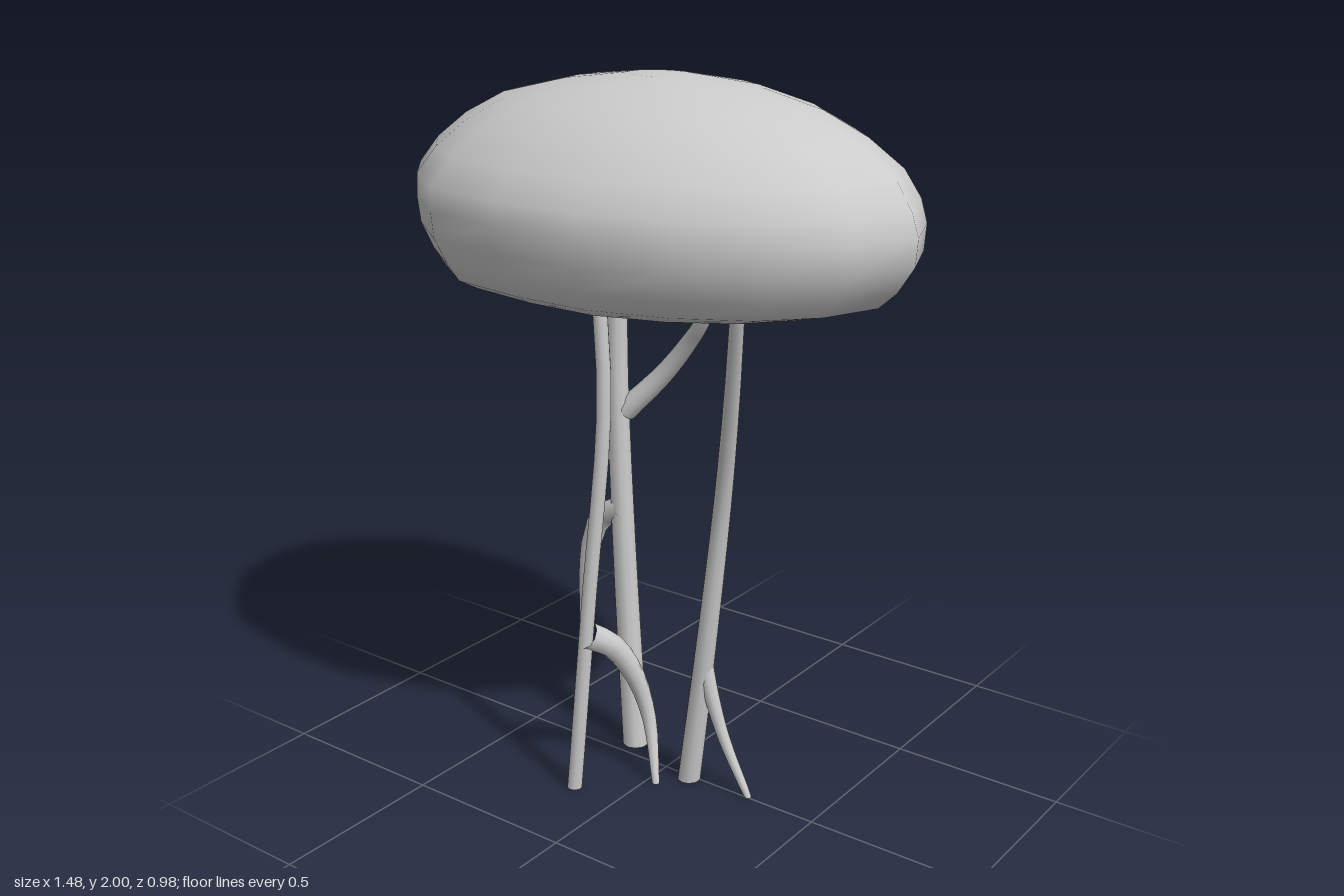
import * as THREE from 'three';

const material = new THREE.MeshStandardMaterial({ color: 0xcccccc });

// Canopy: one egg-shaped outline, rescaled for every height.
function canopyGeometry() {
  // Half outline from +x to -x (unit x, unit z), mirrored to a full loop.
  const half = [[1, 0], [0.905, 0.35], [0.73, 0.63], [0.45, 0.86], [0.12, 1],
    [-0.22, 1], [-0.55, 0.92], [-0.79, 0.65], [-0.955, 0.365], [-1, 0]];
  const outline = [...half, ...half.slice(1, -1).reverse().map(([x, z]) => [x, -z])];
  // Height, reach to -x, reach to +x, half depth.
  const rings = [
    [1.46, 0.62, 0.54, 0.39], [1.485, 0.67, 0.64, 0.435], [1.53, 0.70, 0.69, 0.46],
    [1.60, 0.73, 0.735, 0.49], [1.67, 0.742, 0.74, 0.492], [1.73, 0.74, 0.72, 0.488],
    [1.80, 0.685, 0.675, 0.44], [1.87, 0.595, 0.575, 0.375], [1.93, 0.48, 0.45, 0.29],
    [1.975, 0.29, 0.28, 0.19], [1.998, 0.11, 0.07, 0.07]];
  const n = outline.length;
  const positions = [];
  const index = [];
  for (const [y, left, right, depth] of rings) {
    for (const [x, z] of outline) positions.push(x * (x < 0 ? left : right), y, z * depth);
  }
  const bottom = rings.length * n;
  positions.push(0, 1.452, 0, 0, 2, 0);
  for (let i = 0; i < n; i++) {
    const j = (i + 1) % n;
    for (let k = 0; k < rings.length - 1; k++) {
      const a = k * n + i, b = k * n + j;
      index.push(a, a + n, b, b, a + n, b + n);
    }
    const last = (rings.length - 1) * n;
    index.push(bottom, i, j, bottom + 1, last + j, last + i);
  }
  const geometry = new THREE.BufferGeometry();
  geometry.setAttribute('position', new THREE.Float32BufferAttribute(positions, 3));
  geometry.setIndex(index);
  geometry.computeVertexNormals();
  return geometry;
}

// Tapered limb along a curve; a limb starting at the ground gets a flat foot.
function limb(name, points, r0, r1) {
  const group = new THREE.Group();
  group.name = name;
  const curve = new THREE.CatmullRomCurve3(points.map((p) => new THREE.Vector3(...p)));
  const steps = 12, sides = 10;
  const geometry = new THREE.TubeGeometry(curve, steps, 1, sides);
  const pos = geometry.attributes.position;
  const v = new THREE.Vector3();
  for (let i = 0; i < pos.count; i++) {
    const t = Math.floor(i / (sides + 1)) / steps;
    const center = curve.getPointAt(t);
    v.fromBufferAttribute(pos, i).sub(center).multiplyScalar(r0 + (r1 - r0) * t).add(center);
    if (t === 0) v.y = points[0][1] === 0 ? 0 : v.y;
    pos.setXYZ(i, v.x, Math.max(0, v.y), v.z);
  }
  const stem = new THREE.Mesh(geometry, material);
  stem.name = name + 'Stem';
  group.add(stem);
  if (points[0][1] === 0) {
    const foot = new THREE.Mesh(new THREE.CircleGeometry(r0, sides), material);
    foot.name = name + 'Foot';
    foot.rotation.x = Math.PI / 2;
    foot.position.set(...points[0]);
    group.add(foot);
  }
  return group;
}

export function createModel() {
  const model = new THREE.Group();
  model.name = 'tree';
  const canopy = new THREE.Mesh(canopyGeometry(), material);
  canopy.name = 'canopy';
  model.add(canopy);

  // Three trunks, ground to canopy
  model.add(limb('rearTrunk', [[-0.16, 0, -0.062], [-0.208, 0.6, -0.078],
    [-0.238, 1.15, -0.09], [-0.235, 1.5, -0.092]], 0.039, 0.03));
  model.add(limb('frontTrunk', [[-0.145, 0, 0.244], [-0.1, 0.6, 0.22],
    [-0.062, 1.15, 0.192], [-0.077, 1.5, 0.192]], 0.022, 0.02));
  model.add(limb('leftTrunk', [[0.09, 0, 0.01], [0.15, 0.45, 0.015], [0.21, 0.88, 0.032],
    [0.285, 1.2, 0.105], [0.365, 1.5, 0.2]], 0.034, 0.019));

  // Side shoots dropping to the ground
  model.add(limb('rearShoot', [[-0.385, 0, -0.085], [-0.362, 0.35, -0.085],
    [-0.338, 0.6, -0.083], [-0.29, 0.7, -0.082], [-0.215, 0.74, -0.08]], 0.012, 0.037));
  model.add(limb('frontShoot', [[0.03, 0, 0.09], [-0.02, 0.18, 0.055],
    [-0.05, 0.33, 0.09], [-0.08, 0.43, 0.15], [-0.11, 0.48, 0.22]], 0.011, 0.04));
  model.add(limb('leftShoot', [[0.285, 0, -0.005], [0.205, 0.16, 0],
    [0.165, 0.29, 0.008], [0.14, 0.4, 0.013]], 0.011, 0.026));

  // Fork of the rear trunk rising into the canopy
  model.add(limb('upperFork', [[-0.22, 1.03, -0.1], [-0.12, 1.14, -0.14],
    [-0.04, 1.24, -0.148], [0.04, 1.35, -0.13], [0.085, 1.5, -0.12]], 0.034, 0.014));
  return model;
}
